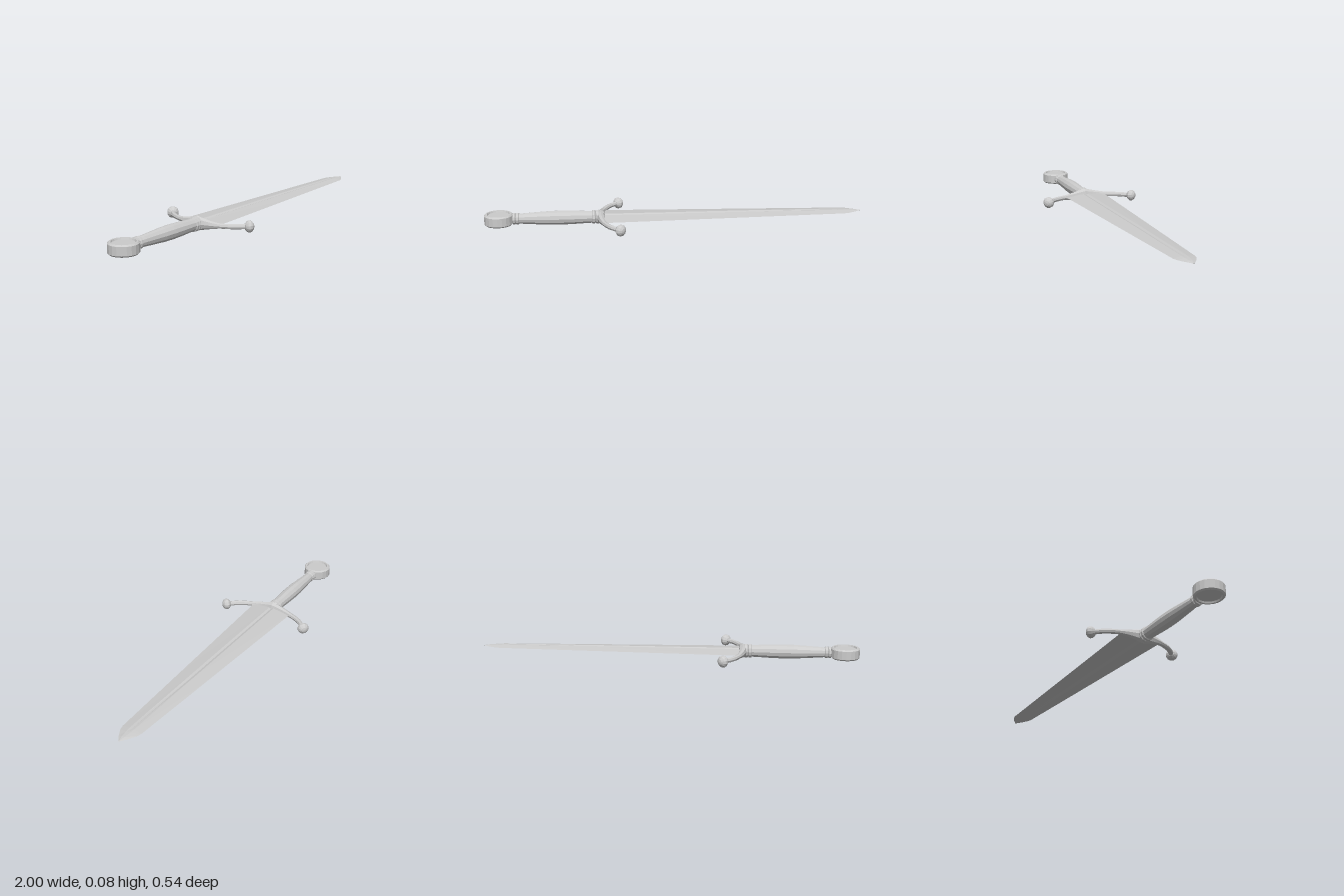
import * as THREE from 'three';

const MID = 0.042; // height of the sword's long axis
const material = new THREE.MeshStandardMaterial({ color: 0xcccccc, flatShading: true });

function add(group, name, geometry) {
  const mesh = new THREE.Mesh(geometry, material);
  mesh.name = name;
  group.add(mesh);
  return mesh;
}

// Skin a list of equal-sized rings, counterclockwise about the path direction, with capped ends.
function loft(rings) {
  const n = rings[0].length;
  const out = [];
  const tri = (...pts) => pts.forEach((p) => out.push(p.x, p.y, p.z));
  for (let i = 0; i + 1 < rings.length; i++) {
    for (let j = 0; j < n; j++) {
      const k = (j + 1) % n;
      const [p, q] = [rings[i], rings[i + 1]];
      tri(p[j], p[k], q[k]);
      tri(p[j], q[k], q[j]);
    }
  }
  const last = rings[rings.length - 1];
  for (let j = 1; j + 1 < n; j++) {
    tri(rings[0][0], rings[0][j + 1], rings[0][j]);
    tri(last[0], last[j], last[j + 1]);
  }
  const geometry = new THREE.BufferGeometry();
  geometry.setAttribute('position', new THREE.Float32BufferAttribute(out, 3));
  geometry.computeVertexNormals();
  return geometry;
}

// Lathe from [radius, height] pairs, listed bottom to top on the outside.
function lathe(profile, sides) {
  return new THREE.LatheGeometry(profile.map(([r, h]) => new THREE.Vector2(r, h)), sides);
}

// Blade section: shallow diamond with a narrow fuller along the middle.
function bladeRing([x, halfWidth, thickness, grooveDepth]) {
  const g = Math.min(0.013, halfWidth * 0.25);
  const c = thickness - grooveDepth;
  return [
    [c, 0], [thickness, g], [0, halfWidth], [-thickness, g],
    [-c, 0], [-thickness, -g], [0, -halfWidth], [thickness, -g],
  ].map(([y, z]) => new THREE.Vector3(x, MID + y, z));
}

// Crossguard: one curved bar swept from tip to tip, swelling at the centre.
function guardGeometry() {
  const half = [[-0.391, 0.05], [-0.382, 0.1], [-0.366, 0.15], [-0.34, 0.198], [-0.303, 0.237]];
  const points = [
    ...half.slice().reverse().map(([x, z]) => new THREE.Vector3(x, MID, -z)),
    new THREE.Vector3(-0.394, MID, 0),
    ...half.map(([x, z]) => new THREE.Vector3(x, MID, z)),
  ];
  const curve = new THREE.CatmullRomCurve3(points);
  const up = new THREE.Vector3(0, 1, 0);
  const rings = [];
  const steps = 24;
  const sides = 8;
  for (let i = 0; i <= steps; i++) {
    const centre = curve.getPointAt(i / steps);
    const across = up.clone().cross(curve.getTangentAt(i / steps)).normalize();
    const swell = Math.max(0, 1 - Math.abs(centre.z) / 0.13) ** 1.3;
    const ry = 0.013 + 0.025 * swell;
    const rx = 0.013 + 0.011 * swell;
    rings.push(Array.from({ length: sides }, (_, j) => {
      const a = (j / sides) * Math.PI * 2;
      return centre.clone()
        .addScaledVector(across, Math.cos(a) * rx)
        .addScaledVector(up, Math.sin(a) * ry);
    }));
  }
  return loft(rings);
}

export function createModel() {
  const model = new THREE.Group();
  model.name = 'sword';

  // Blade: x, half width, half thickness, fuller depth
  add(model, 'blade', loft([
    [-0.385, 0.116, 0.011, 0.005],
    [0.4, 0.079, 0.01, 0.004],
    [0.9, 0.055, 0.008, 0.001],
    [0.928, 0.047, 0.007, 0],
    [0.965, 0.026, 0.005, 0],
    [0.99, 0.008, 0.002, 0],
    [1.0, 0.001, 0.001, 0],
  ].map(bladeRing)));

  add(model, 'crossguard', guardGeometry());

  // Flattened knobs on the guard tips, turned along the arms
  const knob = lathe([
    [0, -0.024], [0.015, -0.022], [0.025, -0.013], [0.03, -0.006],
    [0.03, 0.006], [0.025, 0.014], [0.014, 0.022], [0, 0.025],
  ], 12);
  for (const side of [-1, 1]) {
    const mesh = add(model, side > 0 ? 'frontGuardKnob' : 'backGuardKnob', knob);
    mesh.position.set(-0.296, MID, side * 0.245);
    mesh.quaternion.setFromUnitVectors(
      new THREE.Vector3(0, 1, 0), new THREE.Vector3(0.72, 0, side * 0.69).normalize());
  }

  // Grip with ringed collars at both ends, turned about the long axis
  const grip = add(model, 'grip', lathe([
    [0, -0.86], [0.024, -0.86], [0.024, -0.853], [0.031, -0.85], [0.031, -0.84],
    [0.026, -0.837], [0.031, -0.833], [0.031, -0.822], [0.026, -0.818],
    [0.028, -0.8], [0.032, -0.74], [0.037, -0.66], [0.038, -0.6],
    [0.036, -0.53], [0.033, -0.47], [0.032, -0.44],
    [0.037, -0.437], [0.037, -0.425], [0.031, -0.421], [0.037, -0.417],
    [0.037, -0.404], [0.03, -0.395], [0, -0.385],
  ], 12));
  grip.rotation.z = -Math.PI / 2;
  grip.position.y = MID;

  // Wheel pommel with a shallow recess on both faces
  const pommel = add(model, 'pommel', lathe([
    [0, -0.021], [0.056, -0.021], [0.059, -0.029], [0.068, -0.029], [0.075, -0.022],
    [0.075, 0.022], [0.068, 0.029], [0.059, 0.029], [0.056, 0.021], [0, 0.021],
  ], 20));
  pommel.position.set(-0.925, MID, 0);

  return model;
}
